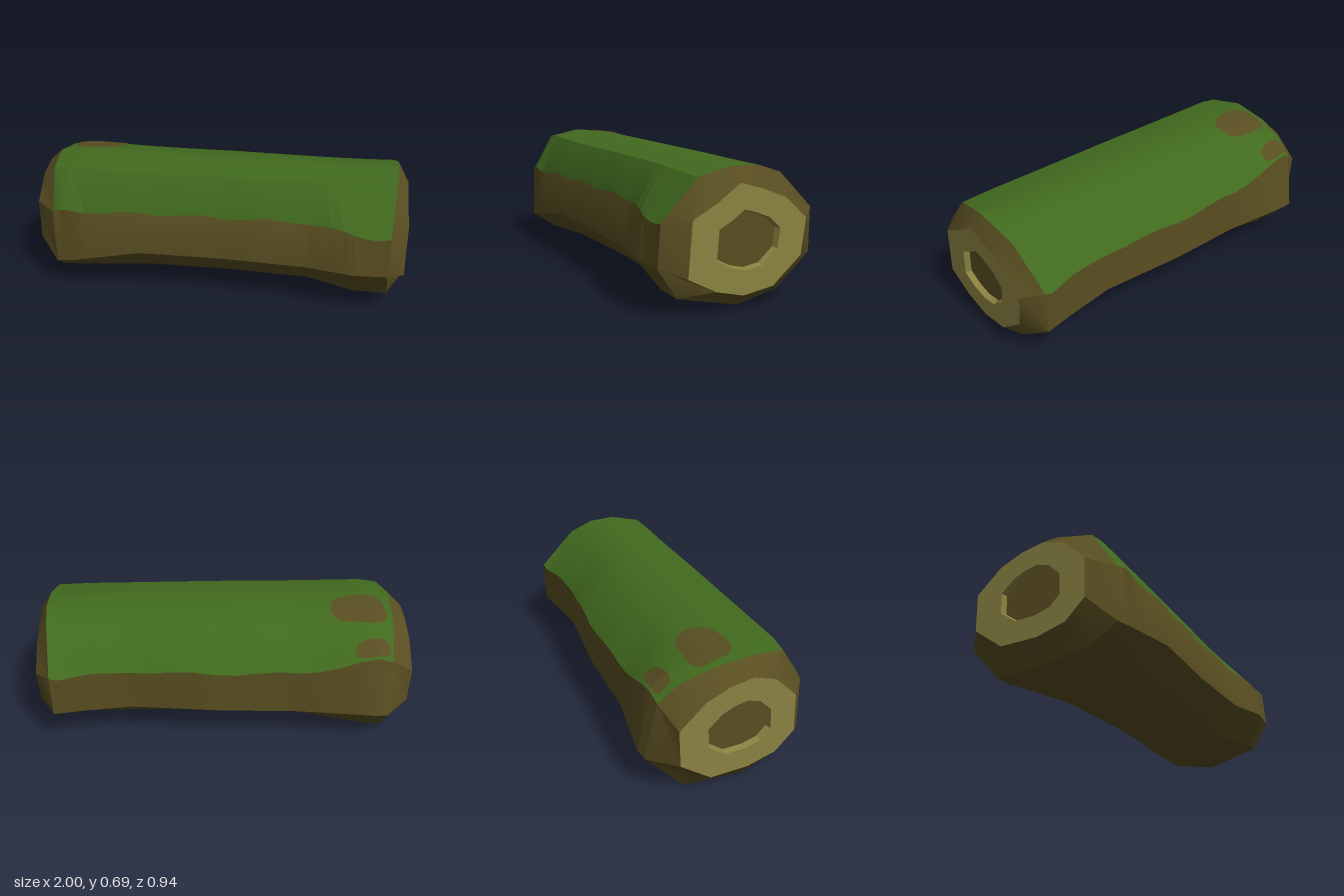
import * as THREE from 'three';
import { toCreasedNormals } from 'three/addons/utils/BufferGeometryUtils.js';

const N = 11; // points around each cross-section: top, front, bottom, back

const mat = (name, color) => Object.assign(new THREE.MeshStandardMaterial({ color }), { name });

// A cross-section at x, from flat z, y pairs; bow shifts x towards the sides
function section(x, zy, bow = 0) {
  return Array.from({ length: N }, (_, j) =>
    new THREE.Vector3(x + bow * Math.abs(zy[2 * j]), zy[2 * j + 1], zy[2 * j]));
}

// Trunk sections between the two bevels
const trunk = [
  section(-0.8, [0.05, 0.69, 0.24, 0.66, 0.375, 0.465, 0.385, 0.16, 0.24, 0.06, 0.04, 0.012, -0.28, 0.012, -0.473, 0.215, -0.41, 0.54, -0.31, 0.605, -0.15, 0.662]),
  section(-0.4, [0.06, 0.69, 0.25, 0.655, 0.37, 0.48, 0.385, 0.24, 0.23, 0.09, 0.04, 0.04, -0.2, 0.045, -0.4, 0.2, -0.4, 0.46, -0.24, 0.62, -0.1, 0.675]),
  section(0.05, [0.07, 0.69, 0.25, 0.66, 0.365, 0.485, 0.378, 0.24, 0.22, 0.09, 0.04, 0.042, -0.18, 0.06, -0.4, 0.22, -0.393, 0.46, -0.23, 0.625, -0.08, 0.68]),
  section(0.5, [0.08, 0.69, 0.25, 0.66, 0.375, 0.495, 0.4, 0.24, 0.24, 0.09, 0.04, 0.05, -0.18, 0.07, -0.35, 0.22, -0.352, 0.46, -0.2, 0.63, -0.06, 0.685]),
  section(0.74, [0.09, 0.69, 0.26, 0.655, 0.43, 0.465, 0.467, 0.25, 0.34, 0.09, 0.05, 0.048, -0.18, 0.07, -0.375, 0.22, -0.37, 0.45, -0.19, 0.635, -0.05, 0.685]),
  section(0.955, [0.09, 0.69, 0.26, 0.65, 0.44, 0.455, 0.455, 0.25, 0.36, 0.1, 0.05, 0.03, -0.19, 0.07, -0.4, 0.22, -0.4, 0.45, -0.19, 0.64, -0.05, 0.685], -0.1),
];
// The right shoulder sinks a little and bows around the bevel
trunk.unshift(trunk[0].map((p) =>
  new THREE.Vector3(-0.93 + 0.13 * Math.abs(p.z), p.y - 0.012, p.z * 0.97)));

// Rims of the sawn ends
const rimLow = section(-1, [0.02, 0.61, 0.14, 0.57, 0.26, 0.45, 0.27, 0.24, 0.17, 0.14, 0.02, 0.1, -0.18, 0.1, -0.34, 0.22, -0.35, 0.42, -0.22, 0.54, -0.1, 0.59]);
const rimHigh = section(1, [0.08, 0.62, 0.2, 0.54, 0.33, 0.475, 0.35, 0.21, 0.2, 0.13, 0.05, 0.09, -0.12, 0.11, -0.28, 0.24, -0.305, 0.42, -0.18, 0.53, -0.04, 0.585]);

// Blend of two neighbouring sections
const blend = (a, b, t) => a.map((p, j) => p.clone().lerp(b[j], t));

// Height of the upper surface at x, z
function topY(x, z) {
  let i = 0;
  while (i < trunk.length - 2 && x > trunk[i + 1][0].x) i++;
  const a = trunk[i], b = trunk[i + 1];
  const s = blend(a, b, (x - a[0].x) / (b[0].x - a[0].x));
  const upper = [7, 8, 9, 10, 0, 1, 2].map((j) => s[j]);
  let k = 0;
  while (k < upper.length - 2 && z > upper[k + 1].z) k++;
  const p = upper[k], q = upper[k + 1];
  return THREE.MathUtils.lerp(p.y, q.y, (z - p.z) / (q.z - p.z));
}

// Skin over a run of rings; pick(i, j) gives the material slot of each quad
function loft(rings, pick, crease) {
  const slots = [[], []];
  for (let i = 0; i < rings.length - 1; i++) {
    for (let j = 0; j < N; j++) {
      const k = (j + 1) % N;
      const a = i * N + j, b = i * N + k, c = b + N, d = a + N;
      slots[pick(i, j)].push(a, b, c, a, c, d);
    }
  }
  const geo = new THREE.BufferGeometry().setFromPoints(rings.flat());
  geo.setIndex(slots.flat());
  geo.addGroup(0, slots[0].length, 0);
  geo.addGroup(slots[0].length, slots[1].length, 1);
  return toCreasedNormals(geo, crease);
}

export function createModel() {
  const group = new THREE.Group();
  const bark = mat('bark brown', 0x594e21);
  const moss = mat('moss green', 0x416a1e);
  const wood = mat('cut wood', 0x8a8241);
  const add = (name, geo, material) => {
    const mesh = new THREE.Mesh(geo, material);
    mesh.name = name;
    group.add(mesh);
  };

  // Trunk: bark with a moss blanket whose lower edges wander
  const rings = [rimLow];
  for (let i = 0; i < trunk.length - 1; i++) {
    for (let s = 0; s < 4; s++) {
      const r = blend(trunk[i], trunk[i + 1], s / 4);
      const x = r[0].x;
      r[2].lerp(r[3], 0.04 + 0.04 * Math.sin(x * 17));
      r[8].lerp(r[7], 0.04 + 0.04 * Math.sin(x * 13 + 2));
      rings.push(r);
    }
  }
  rings.push(trunk[trunk.length - 1], rimHigh);
  const mossy = (i, j) => (i > 0 && i < rings.length - 2 && (j < 2 || j > 7) ? 1 : 0);
  add('trunk', loft(rings, mossy, 0.55), [bark, moss]);

  // Sawn ends: pale ring around a shallow dark hollow
  for (const rim of [rimLow, rimHigh]) {
    const side = Math.sign(rim[0].x);
    const centre = new THREE.Vector3(0, -0.01, 0);
    rim.forEach((p) => centre.addScaledVector(p, 1 / N));
    const inset = (scale, depth) => rim.map((p) => {
      const q = p.clone().sub(centre).multiplyScalar(scale).add(centre);
      q.x = side * (1 - depth);
      return q;
    });
    const capRings = [rim, inset(0.54, 0), inset(0.51, 0.03), inset(0, 0.03)];
    if (side < 0) capRings.reverse();
    const floor = side < 0 ? 0 : 2;
    const geo = loft(capRings, (i) => (i === floor ? 1 : 0), 0.5);
    add(side < 0 ? 'rightCutEnd' : 'leftCutEnd', geo, [wood, bark]);
  }

  // Bare patches in the moss, draped over the surface
  const barePatch = (name, cx, cz, rx, rz) => {
    const geo = new THREE.RingGeometry(0.001, 1, 24, 6);
    const pos = geo.attributes.position;
    for (let i = 0; i < pos.count; i++) {
      const u = pos.getX(i), v = pos.getY(i);
      const a = Math.atan2(v, u);
      const w = 1 + 0.06 * Math.sin(3 * a + 1) - 0.07 * Math.cos(4 * a);
      const x = cx + u * w * rx, z = cz - v * w * rz;
      pos.setXYZ(i, x, topY(x, z) + 0.006, z);
    }
    geo.computeVertexNormals();
    add(name, geo, bark);
  };
  barePatch('barePatch', -0.735, -0.11, 0.155, 0.115);
  barePatch('smallBarePatch', -0.775, -0.36, 0.095, 0.045);

  return group;
}
